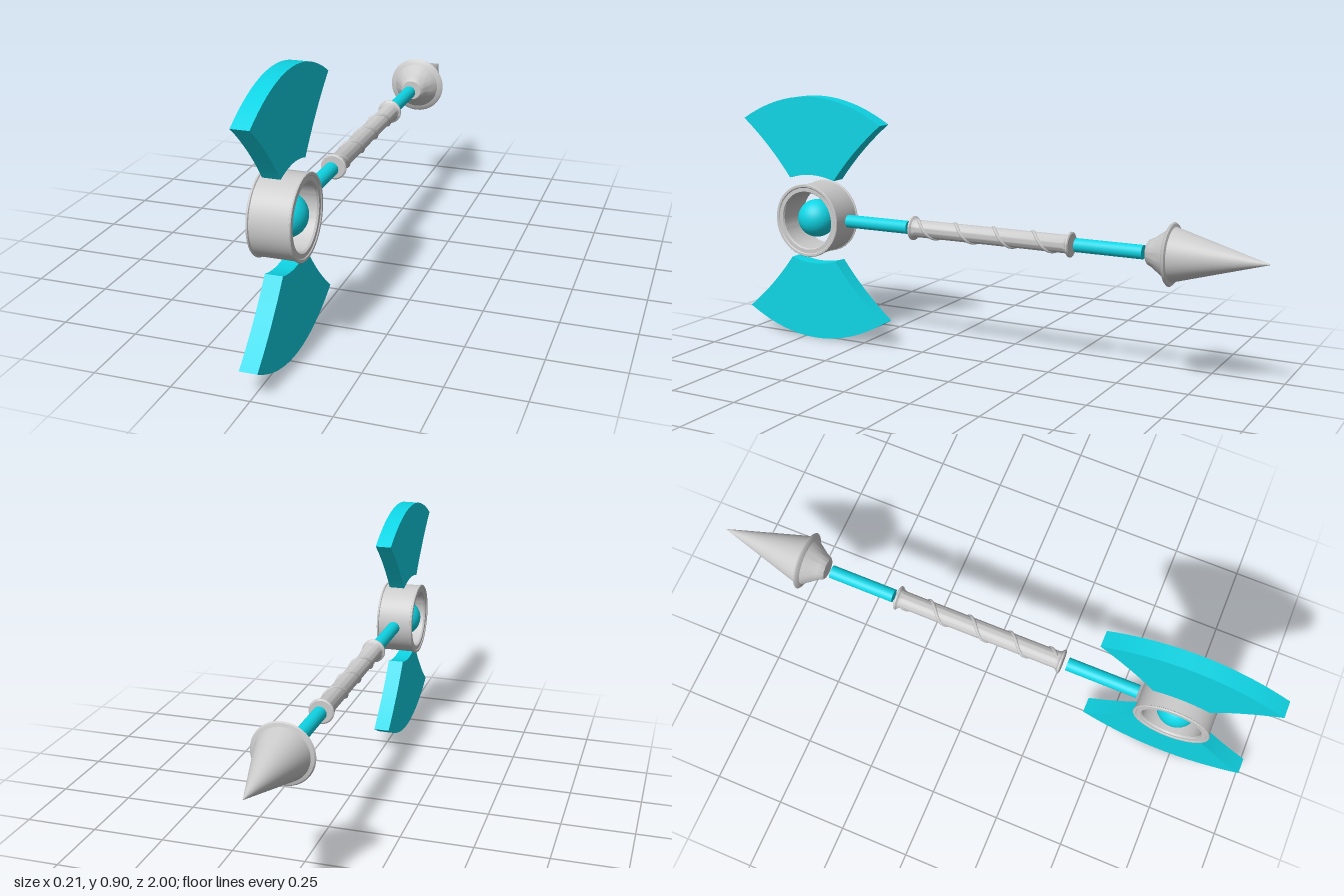
import * as THREE from 'three';
import { toCreasedNormals } from 'three/addons/utils/BufferGeometryUtils.js';

const grey = new THREE.MeshStandardMaterial({ color: 0xcccccc });
const cyan = new THREE.MeshStandardMaterial({ color: 0x0fd5e5 });

const AXIS_Y = 0.455; // height of the shaft
const HEAD_Z = 0.70; // centre of the axe head
const OFFSET_X = -0.003;

// Turned part from [radius, position] pairs, running along +y
function turned(profile, segments = 48) {
  const points = profile.map(([r, y]) => new THREE.Vector2(r, y));
  return toCreasedNormals(new THREE.LatheGeometry(points, segments), 0.5);
}

export function createModel() {
  const model = new THREE.Group();
  const add = (name, geometry, material, x, y, z) => {
    const mesh = new THREE.Mesh(geometry, material);
    mesh.name = name;
    mesh.position.set(x, y, z);
    model.add(mesh);
    return mesh;
  };

  // Open hub ring with a raised lip on both rims
  const hub = turned([
    [0.104, -0.06], [0.108, -0.066], [0.122, -0.066], [0.125, -0.069], [0.133, -0.069],
    [0.135, -0.066], [0.135, -0.063], [0.131, -0.061], [0.131, 0.061], [0.135, 0.063],
    [0.135, 0.066], [0.133, 0.069], [0.125, 0.069], [0.122, 0.066], [0.108, 0.066],
    [0.104, 0.06], [0.104, -0.06],
  ], 64).rotateZ(-Math.PI / 2);
  add('hubRing', hub, grey, OFFSET_X, AXIS_Y, HEAD_Z);

  // Floating orb in the hub
  add('hubOrb', new THREE.SphereGeometry(0.07, 40, 24), cyan, OFFSET_X, AXIS_Y, HEAD_Z);

  // Fan blades above and below the hub
  const outline = new THREE.Shape();
  outline.moveTo(-0.097, 0.15);
  outline.quadraticCurveTo(0, 0.181, 0.097, 0.15);
  outline.quadraticCurveTo(0.185, 0.268, 0.3, 0.361);
  outline.quadraticCurveTo(0, 0.543, -0.3, 0.361);
  outline.quadraticCurveTo(-0.185, 0.268, -0.097, 0.15);
  const bladeGeometry = toCreasedNormals(
    new THREE.ExtrudeGeometry(outline, { depth: 0.057, bevelEnabled: false, curveSegments: 20 })
      .translate(0, 0, -0.0285).rotateY(Math.PI / 2), 0.5);
  add('upperBlade', bladeGeometry, cyan, OFFSET_X, 0.4535, HEAD_Z);
  add('lowerBlade', bladeGeometry, cyan, OFFSET_X, 0.4535, HEAD_Z).rotation.x = Math.PI;

  // Rods on either side of the grip
  for (const [name, z0, z1] of [['frontRod', 0.56, 0.303], ['rearRod', -0.345, -0.583]]) {
    const rod = new THREE.CylinderGeometry(0.0235, 0.0235, z0 - z1, 32).rotateX(Math.PI / 2);
    add(name, rod, cyan, OFFSET_X, AXIS_Y, (z0 + z1) / 2);
  }

  // Grip with flanged ends
  const grip = turned([
    [0, -0.309], [0.038, -0.309], [0.043, -0.306], [0.043, -0.301], [0.036, -0.296],
    [0.031, -0.285], [0.031, 0.285], [0.036, 0.296], [0.043, 0.301], [0.043, 0.306],
    [0.038, 0.309], [0, 0.309],
  ]).rotateX(-Math.PI / 2);
  add('grip', grip, grey, OFFSET_X, AXIS_Y, -0.023);

  // Raised cord wound round the grip
  const turns = 3.8;
  const coil = [];
  for (let i = 0; i <= 96; i++) {
    const t = i / 96;
    const a = t * turns * Math.PI * 2;
    coil.push(new THREE.Vector3(0.03 * Math.sin(a), 0.03 * Math.cos(a), 0.285 - 0.57 * t));
  }
  add('gripWinding', new THREE.TubeGeometry(new THREE.CatmullRomCurve3(coil), 240, 0.006, 8),
    grey, OFFSET_X, AXIS_Y, -0.023);

  // Spear point: flared socket, thin collar, long cone
  const spear = turned([
    [0, 0.6], [0.036, 0.6], [0.041, 0.604], [0.05, 0.622], [0.064, 0.642], [0.084, 0.67],
    [0.1, 0.676], [0.104, 0.68], [0.1, 0.685], [0.089, 0.688], [0, 1.0],
  ]).rotateX(-Math.PI / 2);
  add('spearPoint', spear, grey, 0, AXIS_Y + 0.003, 0);

  return model;
}
